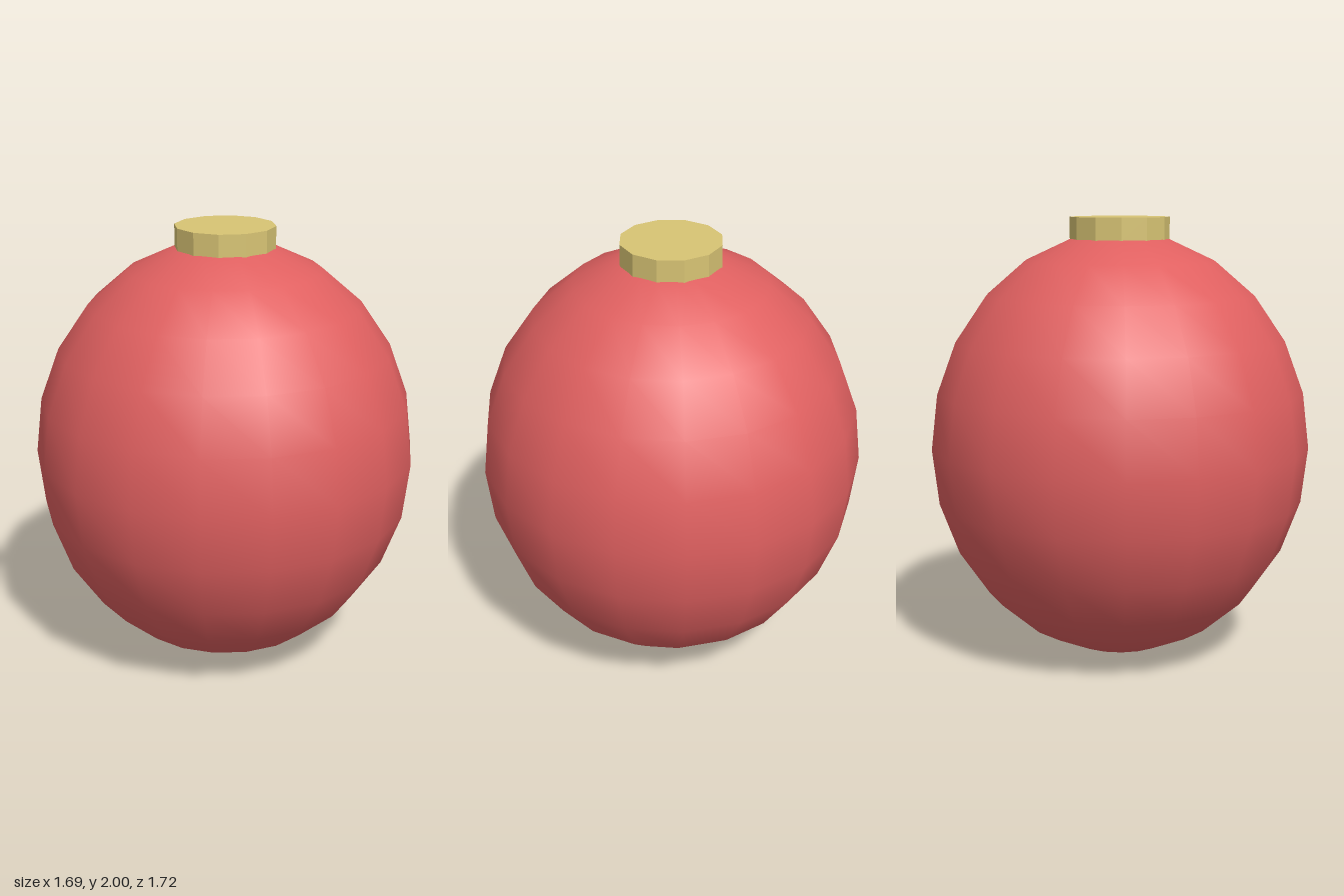
import * as THREE from 'three';

export function createModel() {
  const group = new THREE.Group();
  group.name = 'bauble';

  // Slightly tall, smooth low-poly ball with a vertex line on the front
  const ballGeometry = new THREE.SphereGeometry(1, 18, 12, Math.PI / 2);
  ballGeometry.scale(0.86, 0.965, 0.86);
  const ball = new THREE.Mesh(ballGeometry, new THREE.MeshStandardMaterial({ color: 0xe06060 }));
  ball.name = 'ball';
  ball.position.y = 0.97;
  group.add(ball);

  // Twelve-sided cap sitting on the top ring of the ball
  const capHeight = 0.1;
  const cap = new THREE.Mesh(
    new THREE.CylinderGeometry(0.224, 0.224, capHeight, 12),
    new THREE.MeshStandardMaterial({ color: 0xd8c474 })
  );
  cap.material.flatShading = true;
  cap.name = 'cap';
  cap.position.y = 2 - capHeight / 2;
  group.add(cap);

  return group;
}
